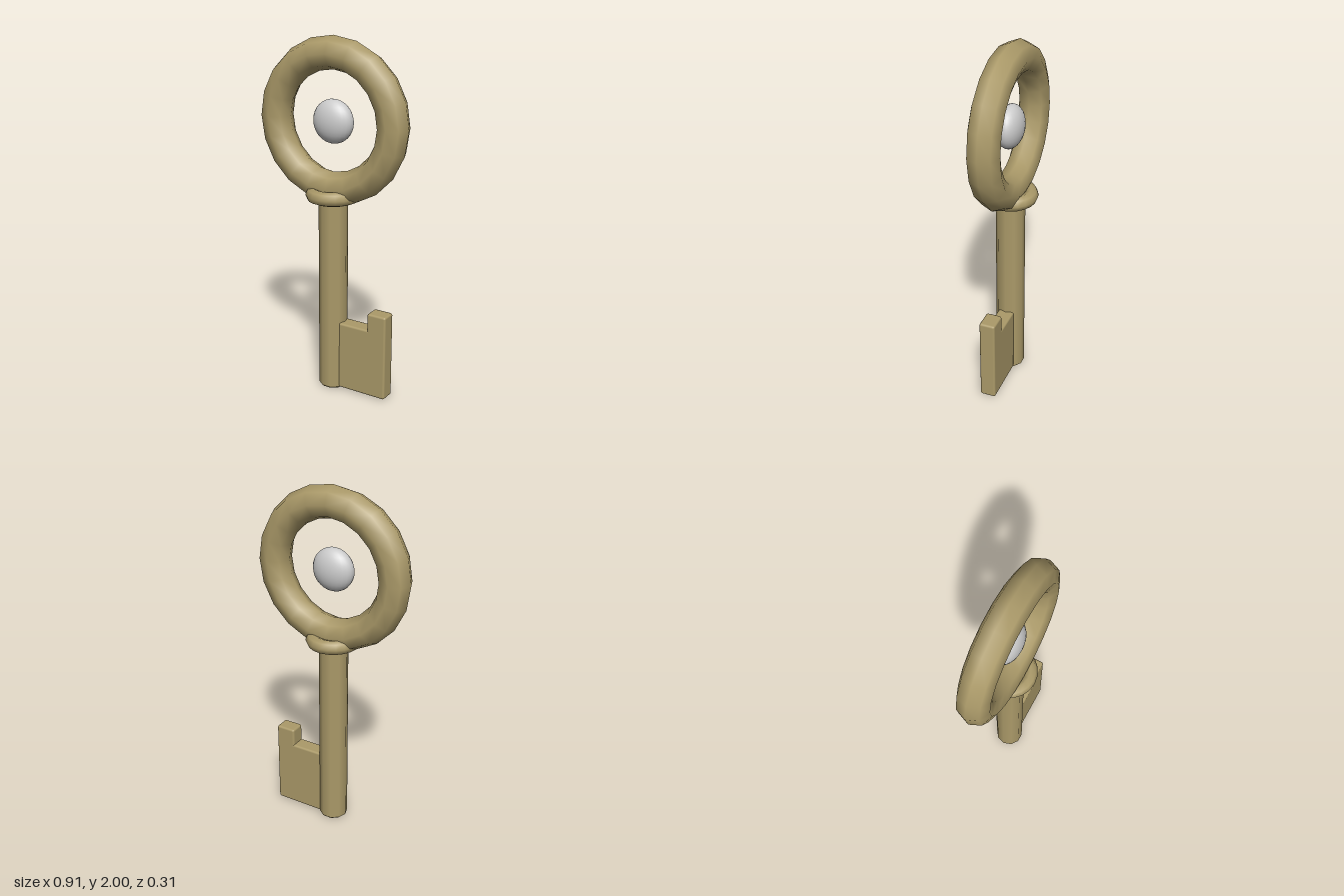
import * as THREE from 'three';
import { RoundedBoxGeometry } from 'three/addons/geometries/RoundedBoxGeometry.js';

export function createModel() {
  const key = new THREE.Group();
  key.name = 'key';
  const brass = new THREE.MeshStandardMaterial({ color: 0xab9a69 });
  const grey = new THREE.MeshStandardMaterial({ color: 0xcccccc });

  const add = (name, geometry, material, x, y, z = 0) => {
    const mesh = new THREE.Mesh(geometry, material);
    mesh.name = name;
    mesh.position.set(x, y, z);
    key.add(mesh);
    return mesh;
  };

  // Ring handle with an eight-sided tube
  add('ringHandle', new THREE.TorusGeometry(0.364, 0.089, 8, 20), brass, 0, 1.547);

  // Flattened gem floating in the ring
  add('gem', new THREE.SphereGeometry(0.12, 24, 16), grey, 0, 1.547).scale.z = 0.6;

  // Collar between ring and shaft
  add('collar', new THREE.TorusGeometry(0.113, 0.04, 8, 20), brass, 0, 1.145).rotation.x = Math.PI / 2;

  // Ten-sided shaft with a bevelled foot
  const r = 0.081, bevel = 0.01, top = 1.16;
  add('shaft', new THREE.CylinderGeometry(r, r, top - bevel, 10), brass, 0, (top + bevel) / 2)
    .rotation.y = Math.PI / 2;
  add('shaftFoot', new THREE.CylinderGeometry(r, r - bevel, bevel, 10), brass, 0, bevel / 2)
    .rotation.y = Math.PI / 2;

  // Bit plate and its raised tooth, given by their extents in x and y
  const block = (name, x0, x1, y0, y1) =>
    add(name, new RoundedBoxGeometry(x1 - x0, y1 - y0, 0.09, 2, 0.012), brass, (x0 + x1) / 2, (y0 + y1) / 2);
  block('bitPlate', 0.06, 0.36, 0.008, 0.408);
  block('bitTooth', 0.245, 0.36, 0.3, 0.508);

  return key;
}
